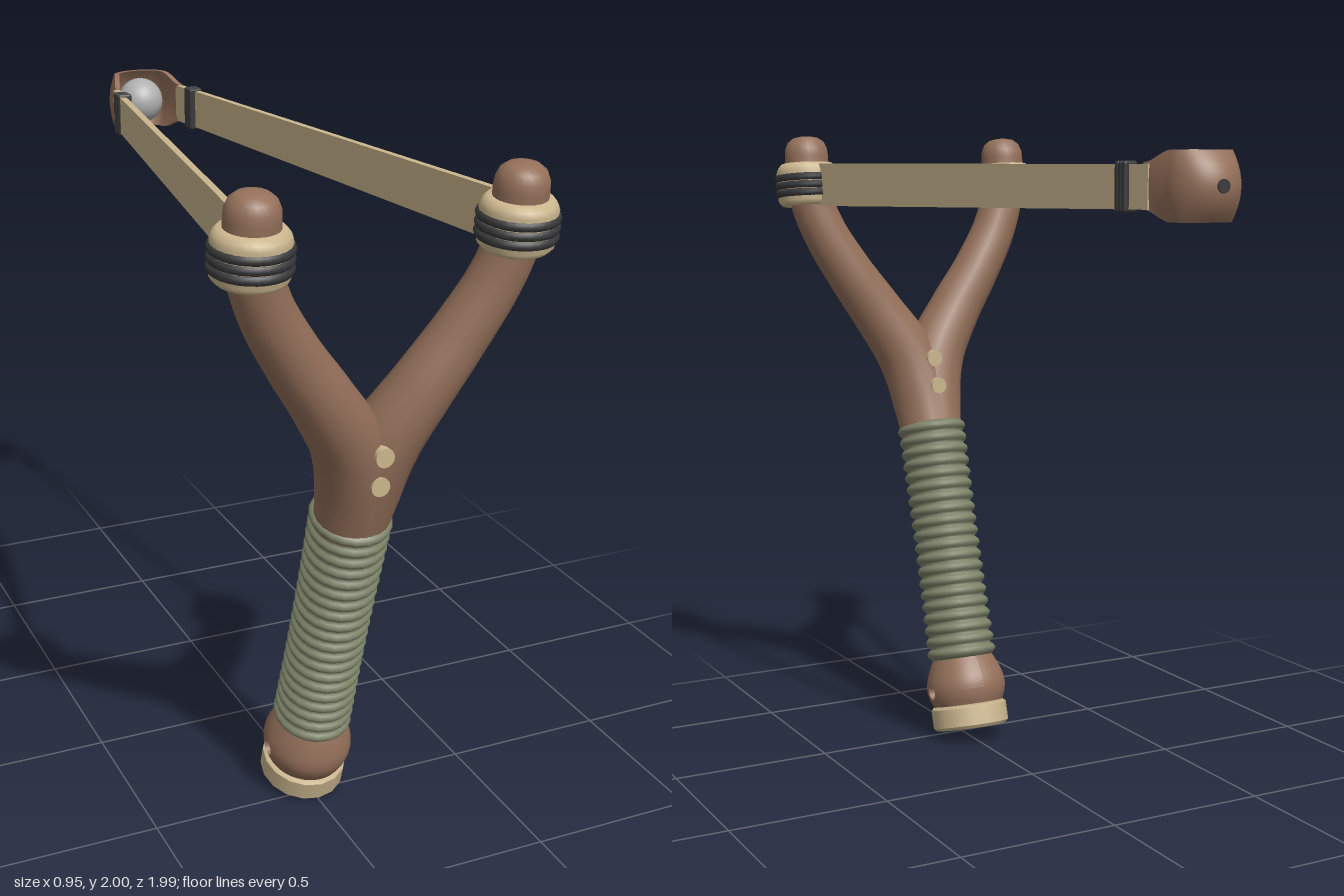
import * as THREE from 'three';
import { RoundedBoxGeometry } from 'three/addons/geometries/RoundedBoxGeometry.js';

const mat = (name, color, side = THREE.FrontSide) => {
  const m = new THREE.MeshStandardMaterial({ color, side });
  m.name = name;
  return m;
};
const V = (x, y, z) => new THREE.Vector3(x, y, z);

function add(parent, name, geometry, material, x = 0, y = 0, z = 0) {
  const mesh = new THREE.Mesh(geometry, material);
  mesh.name = name;
  mesh.position.set(x, y, z);
  parent.add(mesh);
  return mesh;
}

const lathe = (pts, seg = 24) =>
  new THREE.LatheGeometry(pts.map(([r, y]) => new THREE.Vector2(r, y)), seg);

// Surface grid from a function of (u, v) in 0..1
function surface(nu, nv, fn) {
  const pos = [], idx = [];
  for (let i = 0; i <= nu; i++)
    for (let j = 0; j <= nv; j++) pos.push(...fn(i / nu, j / nv));
  for (let i = 0; i < nu; i++)
    for (let j = 0; j < nv; j++) {
      const a = i * (nv + 1) + j, d = a + nv + 1;
      idx.push(a, a + 1, d + 1, a, d + 1, d);
    }
  const g = new THREE.BufferGeometry();
  g.setAttribute('position', new THREE.Float32BufferAttribute(pos, 3));
  g.setIndex(idx);
  g.computeVertexNormals();
  return g;
}

// Tube whose radius follows a list of values along the path
function taperedTube(points, radii, seg = 40, sides = 20) {
  const curve = new THREE.CatmullRomCurve3(points);
  const g = new THREE.TubeGeometry(curve, seg, 1, sides);
  const p = g.attributes.position, v = V(0, 0, 0);
  for (let i = 0; i < p.count; i++) {
    const u = Math.floor(i / (sides + 1)) / seg;
    const t = curve.getUtoTmapping(u) * (radii.length - 1);
    const k = Math.min(Math.floor(t), radii.length - 2);
    const r = THREE.MathUtils.lerp(radii[k], radii[k + 1], t - k);
    const c = curve.getPointAt(u);
    v.fromBufferAttribute(p, i).sub(c).multiplyScalar(r).add(c);
    p.setXYZ(i, v.x, v.y, v.z);
  }
  return g;
}

export function createModel() {
  const model = new THREE.Group();
  model.name = 'slingshot';
  const wood = mat('brown wood', 0x94705a, THREE.DoubleSide);
  const cord = mat('olive cord', 0x7d8268);
  const tan = mat('tan', 0xcab68e);
  const black = mat('black thread', 0x38383a);
  const steel = mat('grey steel', 0xb0b0b0);

  // Handle, leaning so that its top is further forward
  const handle = new THREE.Group();
  handle.name = 'handle';
  handle.position.set(0, 0.04, 0.425);
  handle.rotation.x = 0.29;
  handle.scale.x = 0.95;
  model.add(handle);

  const cap = lathe([[0, 0], [0.122, 0], [0.122, 0], [0.132, 0.01], [0.132, 0.01],
    [0.132, 0.07], [0.132, 0.07], [0.122, 0.08], [0, 0.08]], 16);
  add(handle, 'buttCap', cap, tan);

  // Pommel halves, each with a round lanyard opening
  const pommelProfile = new THREE.SplineCurve([[0.115, 0.07], [0.133, 0.11], [0.137, 0.15],
    [0.124, 0.195], [0.1, 0.245]].map(([r, y]) => new THREE.Vector2(r, y)));
  const samples = pommelProfile.getPoints(60);
  const radiusAt = (y) => {
    const k = samples.findIndex((s) => s.y >= y - 1e-6);
    if (k <= 0) return samples[k ? 60 : 0].x;
    const a = samples[k - 1], b = samples[k];
    return THREE.MathUtils.mapLinear(y, a.y, b.y, a.x, b.x);
  };
  const holeY = 0.13, holeR = 0.022, arc = 0.13;
  const half = surface(96, 10, (u, t) => {
    const a = u * Math.PI * 2, c = Math.cos(a), s = Math.sin(a);
    const edge = Math.min(arc * Math.PI / 2 / Math.max(Math.abs(c), 1e-6),
      (s > 0 ? 0.115 : 0.06) / Math.max(Math.abs(s), 1e-6));
    const d = THREE.MathUtils.lerp(holeR, edge, t);
    const y = holeY + d * s, th = d * c / arc, r = radiusAt(y);
    return [r * Math.cos(th), y, -r * Math.sin(th)];
  });
  for (const turn of [0, Math.PI]) add(handle, 'pommel', half, wood).rotation.y = turn;
  const tunnel = new THREE.CylinderGeometry(holeR, holeR, 0.268, 20, 1, true);
  add(handle, 'lanyardHole', tunnel, wood, 0, holeY, 0).rotation.z = Math.PI / 2;

  // Cord wrap: a scalloped profile, one bulge per turn
  const turns = 20, y0 = 0.235, pitch = 0.0402;
  const wrap = [[0.05, y0]];
  for (let i = 0; i < turns; i++)
    for (let k = 0; k < 6; k++) {
      const f = k / 6, taper = 0.106 - 0.005 * Math.sin(i / turns * Math.PI);
      wrap.push([taper + 0.016 * Math.sin(f * Math.PI), y0 + (i + f) * pitch]);
    }
  wrap.push([0.1, y0 + turns * pitch], [0.05, y0 + turns * pitch]);
  add(handle, 'cordWrap', lathe(wrap, 20), cord);

  // Pins through the neck
  for (const [y, z, len] of [[1.262, 0.795, 0.225], [1.172, 0.77, 0.235]]) {
    add(model, 'neckPin', new THREE.CylinderGeometry(0.027, 0.027, len, 16), tan, 0, y, z)
      .rotation.x = Math.PI / 2;
  }

  for (const s of [1, -1]) {
    // Fork arm; both arms merge at the neck
    add(model, 'forkArm', taperedTube([
      V(0, 0.97, 0.705), V(s * 0.012, 1.12, 0.755), V(s * 0.05, 1.26, 0.795),
      V(s * 0.142, 1.41, 0.827), V(s * 0.238, 1.55, 0.845), V(s * 0.32, 1.69, 0.865),
      V(s * 0.358, 1.8, 0.88), V(s * 0.366, 1.92, 0.89),
    ], [0.1, 0.107, 0.102, 0.089, 0.08, 0.074, 0.072, 0.07]), wood);

    // Fork tip with the band cuff and its binding
    const tip = new THREE.Group();
    tip.name = 'forkTip';
    tip.position.set(s * 0.367, 1.843, 0.883);
    tip.rotation.x = 0.1;
    model.add(tip);
    add(tip, 'tipKnob', lathe([[0.072, 0], [0.072, 0.09], [0.07, 0.115], [0.06, 0.138],
      [0.042, 0.152], [0.02, 0.157], [0, 0.158]]), wood);
    add(tip, 'bandCuff', lathe([[0.06, -0.07], [0.086, -0.07], [0.1, -0.055], [0.102, 0],
      [0.102, 0.04], [0.096, 0.055], [0.084, 0.068], [0.06, 0.068]]), tan);
    for (const y of [-0.03, -0.005, 0.02])
      add(tip, 'cuffBinding', new THREE.TorusGeometry(0.096, 0.014, 8, 28), black, 0, y, 0)
        .rotation.x = Math.PI / 2;

    // Flat stretched band, narrower toward the pouch
    const from = V(s * 0.354, 1.843, 0.81), to = V(s * 0.122, 1.843, -0.74);
    const len = from.distanceTo(to);
    const strip = new THREE.BoxGeometry(0.02, 0.138, len);
    const p = strip.attributes.position;
    for (let i = 0; i < p.count; i++) if (p.getZ(i) < 0) p.setY(i, p.getY(i) * 0.84);
    const mid = from.clone().add(to).multiplyScalar(0.5);
    const angle = Math.atan2(from.x - to.x, from.z - to.z);
    add(model, 'band', strip, tan, mid.x, mid.y, mid.z).rotation.y = angle;
    add(model, 'bandEnd', new THREE.BoxGeometry(0.02, 0.116, 0.1), tan, s * 0.115, 1.843, -0.775)
      .rotation.y = angle;
    for (const k of [-1, 0, 1])
      add(model, 'bandTie', new RoundedBoxGeometry(0.046, 0.134, 0.018, 2, 0.008), black,
        s * 0.121, 1.843, -0.726 + k * 0.017).rotation.y = angle;
  }

  // Pouch: a U-shaped cup, tallest near the back, with rims pulled inward
  const pouchPoint = (s, t, inset) => {
    const a = Math.min(Math.abs(s) / 0.65, 1), out = Math.max(Math.abs(s) - 0.65, 0) / 0.35;
    const phi = a * Math.PI / 2, R = 0.104 - inset;
    const h = THREE.MathUtils.lerp(0.091, 0.06, THREE.MathUtils.smoothstep(out, 0, 1));
    const pull = 0.042 * t * t * (1 - out);
    const x = (R - pull * 0.35) * Math.sin(phi) + 0.014 * out;
    return [Math.sign(s) * x, 1.845 + h * t, -0.89 - (R - pull) * Math.cos(phi) + 0.085 * out];
  };
  for (const inset of [0, 0.016])
    add(model, inset ? 'pouchLining' : 'pouch',
      surface(40, 10, (u, v) => pouchPoint(u * 2 - 1, v * 2 - 1, inset)), wood);
  for (const t of [-1, 1])
    add(model, 'pouchRim', surface(40, 1, (u, v) => pouchPoint(u * 2 - 1, t, v * 0.016)), wood);
  add(model, 'pouchHole', new THREE.CylinderGeometry(0.018, 0.018, 0.006, 16), black, 0, 1.845, -0.994)
    .rotation.x = Math.PI / 2;

  // Ball held in the pouch
  add(model, 'ball', new THREE.SphereGeometry(0.073, 28, 18), steel, 0, 1.845, -0.896);
  return model;
}
